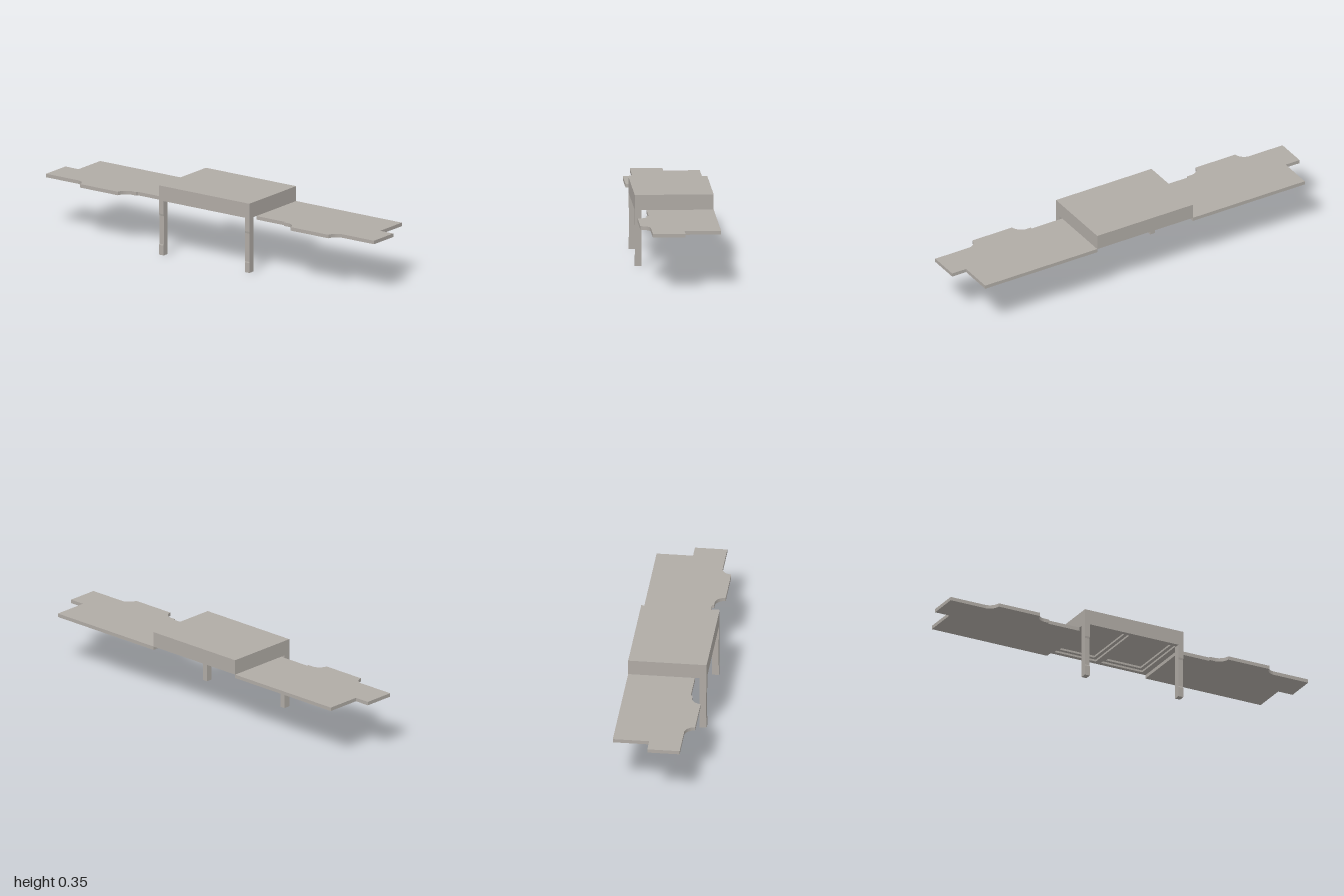
import * as THREE from 'three';

const shell = new THREE.MeshStandardMaterial({ color: 0xb0aba5 });
shell.name = 'warm grey';

const BLOCK_X = 0.275, DEPTH = 0.194;
const WING_BOTTOM = 0.26, WING_TOP = 0.278, TOP = 0.354;

function add(parent, name, geometry) {
  const mesh = new THREE.Mesh(geometry, shell);
  mesh.name = name;
  parent.add(mesh);
  return mesh;
}

function rect(Type, x0, y0, x1, y1) {
  const p = new Type();
  p.moveTo(x0, y0);
  p.lineTo(x1, y0);
  p.lineTo(x1, y1);
  p.lineTo(x0, y1);
  p.closePath();
  return p;
}

// Horizontal plate from a plan drawn in (x, z), lying between two heights
function plate(shape, bottom, top) {
  const g = new THREE.ExtrudeGeometry(shape, { depth: top - bottom, bevelEnabled: false, curveSegments: 8 });
  g.rotateX(Math.PI / 2);
  g.translate(0, top, 0);
  return g;
}

// Stepped, filleted wing plan; side is +1 or -1
function wingShape(side) {
  const s = new THREE.Shape();
  const r = 0.045, edge = 0.146;
  const x = v => v * side;
  s.moveTo(x(BLOCK_X), -DEPTH);
  s.lineTo(x(0.92), -DEPTH);
  s.lineTo(x(0.92), -0.014);
  s.lineTo(x(1), -0.014);
  s.lineTo(x(1), edge);
  s.lineTo(x(0.757 + r), edge);
  s.quadraticCurveTo(x(0.766), edge + 0.008, x(0.757), DEPTH - 0.003);
  s.lineTo(x(0.757), DEPTH);
  s.lineTo(x(0.527), DEPTH);
  s.lineTo(x(0.527), DEPTH - 0.003);
  s.quadraticCurveTo(x(0.518), edge + 0.008, x(0.527 - r), edge);
  s.lineTo(x(0.45), edge);
  s.lineTo(x(0.45), 0.136);
  s.lineTo(x(BLOCK_X), 0.136);
  s.closePath();
  return s;
}

// Underside layer with two rectangular openings
function coffer(inset) {
  const s = rect(THREE.Shape, -BLOCK_X, -DEPTH, BLOCK_X, DEPTH);
  for (const side of [-1, 1]) {
    const cx = side * 0.13, hx = 0.115 - inset, hz = 0.172 - inset;
    s.holes.push(rect(THREE.Path, cx - hx, -hz, cx + hx, hz));
  }
  return s;
}

export function createModel() {
  const group = new THREE.Group();
  group.name = 'wingedTable';

  // Raised centre block with stepped recesses underneath
  const block = new THREE.Group();
  block.name = 'centreBlock';
  group.add(block);
  const body = add(block, 'blockBody', new THREE.BoxGeometry(BLOCK_X * 2, TOP - 0.298, DEPTH * 2));
  body.position.y = (TOP + 0.298) / 2;
  add(block, 'innerRecessFrame', plate(coffer(0.018), 0.288, 0.298));
  add(block, 'outerRecessFrame', plate(coffer(0), WING_TOP, 0.288));

  // Leg side profile in (z, y), slightly slimmer above the foot
  const profile = new THREE.Shape([
    [0.16, 0], [DEPTH, 0], [DEPTH, 0.05], [0.192, 0.056],
    [0.192, 0.2], [DEPTH, 0.21], [DEPTH, WING_TOP], [0.16, WING_TOP],
  ].map(([z, y]) => new THREE.Vector2(-z, y)));
  const legGeometry = new THREE.ExtrudeGeometry(profile, { depth: 0.027, bevelEnabled: false });
  legGeometry.rotateY(Math.PI / 2);

  for (const side of [-1, 1]) {
    const label = side > 0 ? 'left' : 'right';
    add(group, label + 'Wing', plate(wingShape(side), WING_BOTTOM, WING_TOP));
    const leg = add(group, label + 'FrontLeg', legGeometry);
    leg.position.x = side > 0 ? BLOCK_X - 0.027 : -BLOCK_X;
  }
  return group;
}
